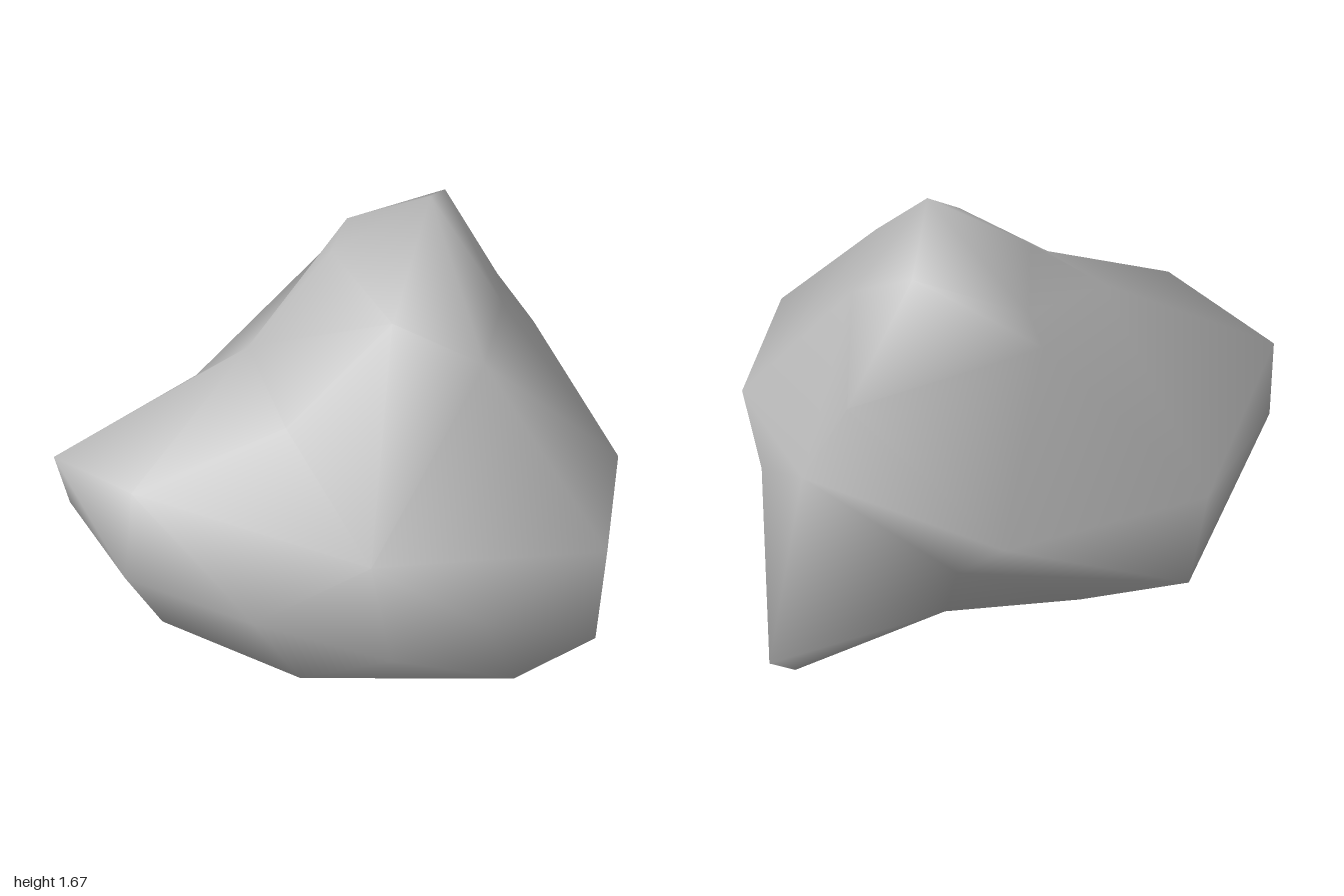
import * as THREE from 'three';
import { mergeVertices } from 'three/addons/utils/BufferGeometryUtils.js';
import { ConvexGeometry } from 'three/addons/geometries/ConvexGeometry.js';

// Corners of the boulder, grouped by region
const crown = [
  [0.25, 1.67, -0.25], [0.25, 1.55, -0.62], [-0.12, 1.42, -0.57],
  [-0.17, 1.32, -0.61], [-0.09, 1.47, -0.15], [0.21, 1.41, 0.26],
  [0.53, 1.3, 0.28], [0.53, 1.29, -0.22], [-0.34, 1.19, 0.12], [-0.1, 1.12, 0.53],
];
const frontSide = [
  [-0.58, 0.94, 0.76], [-0.62, 0.6, 0.78], [0.25, 0.79, 0.81], [-0.15, 0.52, 0.84],
  [0.34, 0.49, 0.9], [0.63, 0.62, 0.81], [0, 0.28, 0.8], [-0.57, 0.27, 0.58],
];
const flanks = [
  [-1, 0.82, 0.41], [-1, 0.56, 0.31], [-0.77, 0.34, 0.15],
  [1, 0.82, 0.6], [0.99, 0.46, 0.6], [1, 0.78, -0.08], [0.97, 0.45, 0],
  [0.86, 0.65, -0.4],
];
const backSide = [
  [-0.74, 0.7, -0.5], [-0.69, 0.41, -0.61], [-0.06, 0.62, -0.77],
  [0.1, 0.53, -0.79], [0.6, 0.92, -0.84], [0.45, 1.15, -0.77],
  [0.75, 0.18, -0.91], [0.8, 0.27, -0.55],
];
const underside = [
  [0.02, 0.02, 0.03], [-0.45, 0.09, 0.05], [-0.51, 0.16, 0.19],
  [-0.36, 0.12, 0.45], [0.05, 0.1, 0.54], [0.55, 0.1, 0.43],
  [0.72, 0.22, 0.58], [0.78, 0.13, -0.07], [-0.3, 0.07, -0.31],
  [0.2, 0.07, -0.43], [0.55, 0.01, -0.46], [0.71, 0, -0.73],
];

// Skin the corners: squeeze them towards a sphere, wrap a hull, then restore
// each radius, so that shallow hollows survive.
function skin(corners, centre, squeeze) {
  const squeezed = corners.map((c) => {
    const v = new THREE.Vector3(...c).sub(centre);
    return v.setLength(Math.pow(v.length(), squeeze));
  });
  let geometry = new ConvexGeometry(squeezed);
  geometry.deleteAttribute('normal');
  const position = geometry.attributes.position;
  const v = new THREE.Vector3();
  for (let i = 0; i < position.count; i++) {
    v.fromBufferAttribute(position, i);
    v.setLength(Math.pow(v.length(), 1 / squeeze)).add(centre);
    position.setXYZ(i, v.x, v.y, v.z);
  }
  geometry = mergeVertices(geometry, 1e-3);
  geometry.computeVertexNormals();
  return geometry;
}

export function createModel() {
  const stone = new THREE.MeshStandardMaterial({ color: 0xb8b8b8 });
  stone.name = 'stone grey';

  const corners = [...crown, ...frontSide, ...flanks, ...backSide, ...underside];
  const boulder = new THREE.Mesh(skin(corners, new THREE.Vector3(0.05, 0.72, 0), 0.3), stone);
  boulder.name = 'boulder';

  const model = new THREE.Group();
  model.name = 'rock';
  model.add(boulder);
  return model;
}
